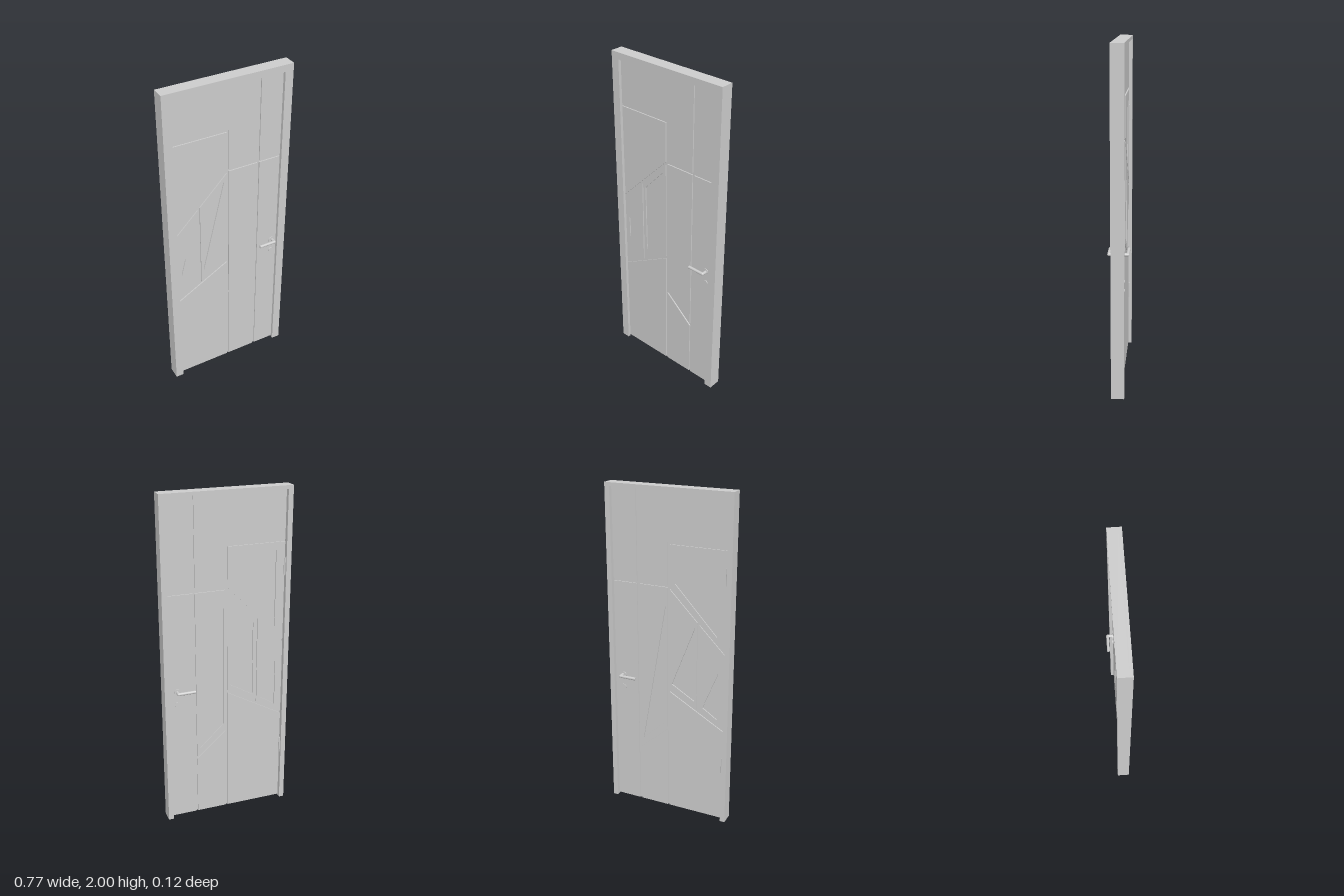
import * as THREE from 'three';

const material = new THREE.MeshStandardMaterial({ color: 0xcccccc });
const GROOVE = 0.013;
const LEAF_FRONT = 0.02, LEAF_BACK = -0.018, SKIN = 0.007;

function add(parent, geometry, name, x = 0, y = 0, z = 0) {
  const mesh = new THREE.Mesh(geometry, material);
  mesh.name = name;
  mesh.position.set(x, y, z);
  parent.add(mesh);
  return mesh;
}

const toPoints = (list) => list.map(([x, y]) => new THREE.Vector2(x, y));

// Flat plate from a counter-clockwise outline, spanning z0 to z1
function plate(points, z0, z1, holes = []) {
  const shape = new THREE.Shape(points);
  holes.forEach((h) => shape.holes.push(new THREE.Path(h)));
  return new THREE.ExtrudeGeometry(shape, { depth: z1 - z0, bevelEnabled: false }).translate(0, 0, z0);
}

// Moves every edge of a counter-clockwise outline inwards by d
function inset(points, d) {
  const n = points.length;
  return points.map((p, i) => {
    const a = p.clone().sub(points[(i + n - 1) % n]).normalize();
    const b = points[(i + 1) % n].clone().sub(p).normalize();
    const na = new THREE.Vector2(-a.y, a.x), nb = new THREE.Vector2(-b.y, b.x);
    const k = d / (1 + na.dot(nb));
    return p.clone().addScaledVector(na.add(nb), k);
  });
}

// U-shaped frame section, open at the floor
function frameSection(halfOpening, top, z0, z1) {
  return plate(toPoints([
    [-0.385, 0], [-halfOpening, 0], [-halfOpening, top], [halfOpening, top],
    [halfOpening, 0], [0.385, 0], [0.385, 2], [-0.385, 2],
  ]), z0, z1);
}

// Panel outlines run along the groove centre lines
const L = -0.359, R = 0.359, B = 0.004, T = 1.984, C = 0.195, H = 1.442;
const panels = [
  { name: 'topPanel', outline: [[L, 1.69], [0, 1.69], [0, H], [C, H], [C, T], [L, T]] },
  { name: 'upperHingePanel', outline: [[L, 1.08], [0, H], [0, 1.69], [L, 1.69]],
    back: [[-0.04, 1.46], [-0.3, 1.64], [-0.3, 1.18]] },
  { name: 'middleHingePanel', outline: [[L, 0.603], [-0.185, 0.7], [-0.185, 1.254], [L, 1.08]],
    front: [[-0.307, 0.965], [-0.305, 0.81], [-0.278, 0.92]],
    back: [[-0.218, 0.73], [-0.31, 0.96], [-0.31, 0.67]] },
  { name: 'middleInnerPanel', outline: [[-0.185, 0.7], [0, 0.805], [0, H], [-0.185, 1.254]],
    front: [[-0.167, 1.22], [-0.163, 0.785], [-0.024, 1.375]],
    back: [[-0.165, 1.22], [-0.165, 0.76], [-0.02, 0.845]] },
  { name: 'lowerHingePanel', outline: [[L, B], [0, B], [0, 0.805], [L, 0.603]] },
  { name: 'centrePanel', outline: [[0, 0.555], [C, 0.385], [C, H], [0, H]],
    back: [[0.02, 1.33], [0.02, 0.59], [0.17, 0.45]] },
  { name: 'lowerCentrePanel', outline: [[0, B], [C, B], [C, 0.385], [0, 0.555]] },
  { name: 'lockPanel', outline: [[C, B], [R, B], [R, H], [C, H]] },
  { name: 'upperLockPanel', outline: [[C, H], [R, H], [R, T], [C, T]] },
];

function createLeaf() {
  const leaf = new THREE.Group();
  leaf.name = 'doorLeaf';
  const z0 = LEAF_BACK + SKIN, z1 = LEAF_FRONT - SKIN;
  add(leaf, new THREE.BoxGeometry(0.705, 1.967, z1 - z0), 'leafCore', 0, 0.9935, (z0 + z1) / 2);
  // Grooved skins with triangular recesses on both faces
  for (const { name, outline, front, back } of panels) {
    const points = inset(toPoints(outline), GROOVE / 2);
    add(leaf, plate(points, z1, LEAF_FRONT, front ? [toPoints(front)] : []), name + 'Front');
    add(leaf, plate(points, LEAF_BACK, z0, back ? [toPoints(back)] : []), name + 'Back');
  }
  return leaf;
}

// Lever, spindle and roses for one face; side is +1 front, -1 back
function createHandle(side) {
  const handle = new THREE.Group();
  handle.name = side > 0 ? 'frontHandle' : 'backHandle';
  const face = side > 0 ? LEAF_FRONT : LEAF_BACK, lever = side * 0.053;
  const x = 0.306, y = 0.85, r = 0.009;
  const spindle = add(handle, new THREE.CylinderGeometry(r, r, Math.abs(lever - face), 20),
    'spindle', x, y, (lever + face) / 2);
  spindle.rotation.x = Math.PI / 2;
  const grip = add(handle, new THREE.CylinderGeometry(r, r, 0.102, 20), 'lever', x - 0.051, y, lever);
  grip.rotation.z = Math.PI / 2;
  add(handle, new THREE.SphereGeometry(r, 20, 12), 'leverElbow', x, y, lever);
  for (const [name, ry, rr] of [['handleRose', y, 0.019], ['keyRose', 0.77, 0.017]]) {
    const rose = add(handle, new THREE.CylinderGeometry(rr, rr, 0.006, 24), name, 0.302, ry, face + side * 0.002);
    rose.rotation.x = Math.PI / 2;
  }
  return handle;
}

export function createModel() {
  const model = new THREE.Group();
  model.name = 'door';

  // Frame with a rebate: the rear opening is wider than the front one
  const frame = new THREE.Group();
  frame.name = 'frame';
  add(frame, frameSection(0.335, 1.96, LEAF_FRONT, 0.038), 'frameStop');
  add(frame, frameSection(0.355, 1.98, -0.038, LEAF_FRONT), 'frameRear');
  model.add(frame, createLeaf(), createHandle(1), createHandle(-1));

  // Hinges on the rear edge
  for (const y of [0.38, 1.54]) {
    add(model, new THREE.CylinderGeometry(0.006, 0.006, 0.1, 12), 'hinge', -0.352, y, -0.022);
  }
  return model;
}
